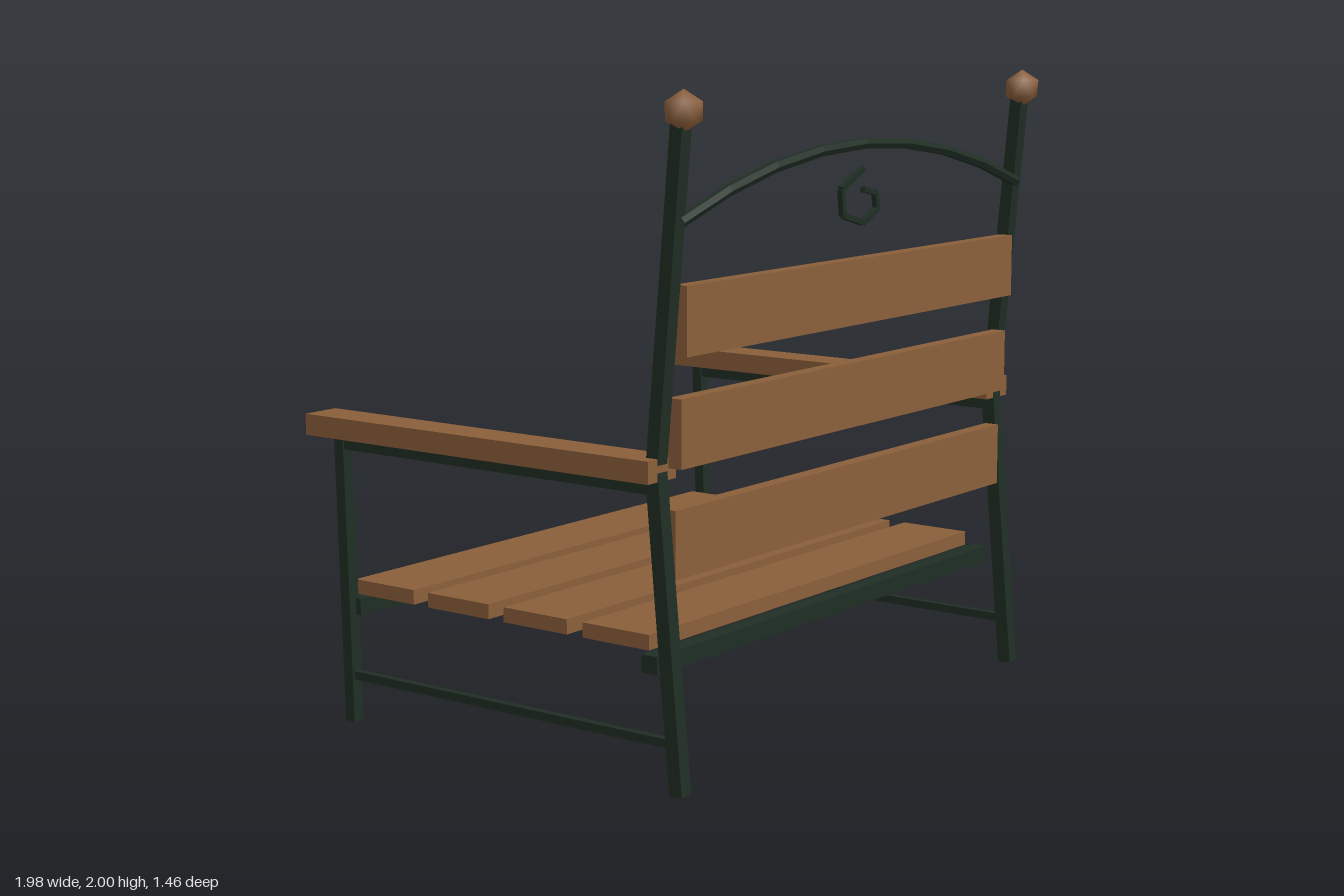
import * as THREE from 'three';
import { mergeVertices } from 'three/addons/utils/BufferGeometryUtils.js';

const wood = new THREE.MeshStandardMaterial({ name: 'wood', color: 0x8b5f3b });
const iron = new THREE.MeshStandardMaterial({ name: 'dark green iron', color: 0x1f2e24 });
const ironFlat = iron;

function add(parent, name, geometry, material) {
  const mesh = new THREE.Mesh(geometry, material);
  mesh.name = name;
  parent.add(mesh);
  return mesh;
}

// Box given by its centre and size
function box(parent, name, material, [x, y, z], [w, h, d]) {
  const mesh = add(parent, name, new THREE.BoxGeometry(w, h, d), material);
  mesh.position.set(x, y, z);
  return mesh;
}

// Square bar running from a to b
function bar(parent, name, a, b, thickness, depth = thickness) {
  const start = new THREE.Vector3(...a), end = new THREE.Vector3(...b);
  const dir = end.clone().sub(start);
  const mesh = add(parent, name, new THREE.BoxGeometry(thickness, dir.length(), depth), ironFlat);
  mesh.position.copy(start).add(end).multiplyScalar(0.5);
  mesh.quaternion.setFromUnitVectors(new THREE.Vector3(0, 1, 0), dir.normalize());
  return mesh;
}

// Low-poly ball with a corner pointing up and soft shading
function knobGeometry(radius) {
  const g = new THREE.IcosahedronGeometry(radius, 0);
  g.deleteAttribute('normal');
  g.deleteAttribute('uv');
  const ball = mergeVertices(g, 1e-4);
  ball.rotateZ(-Math.atan(2 / (1 + Math.sqrt(5))));
  ball.computeVertexNormals();
  return ball;
}

export function createModel() {
  const bench = new THREE.Group();
  bench.name = 'gardenBench';

  // Side frames
  for (const [side, s] of [['left', 1], ['right', -1]]) {
    const frame = new THREE.Group();
    frame.name = side + 'Frame';
    bench.add(frame);
    const x = s * 0.923;
    bar(frame, 'backLeg', [x, 0.002, 0.663], [x, 0.935, 0.578], 0.045);
    bar(frame, 'backPost', [x, 0.92, 0.577], [x, 1.92, 0.668], 0.045, 0.042);
    bar(frame, 'frontLeg', [x, 0.001, -0.616], [x, 0.905, -0.643], 0.04, 0.037);
    box(frame, 'armSupport', iron, [x, 0.88, -0.035], [0.03, 0.032, 1.22]);
    box(frame, 'lowerStretcher', iron, [x, 0.15, 0.015], [0.026, 0.026, 1.26]);
    box(frame, 'armrest', wood, [s * 0.925, 0.938, -0.067], [0.13, 0.066, 1.336]);
    add(frame, 'knob', knobGeometry(0.061), wood).position.set(x, 1.941, 0.676);
  }

  // Seat rails and slats
  box(bench, 'frontSeatRail', iron, [0, 0.365, -0.617], [1.83, 0.053, 0.056]);
  box(bench, 'backSeatRail', iron, [0, 0.365, 0.547], [1.83, 0.053, 0.056]);
  for (let i = 0; i < 4; i++) {
    box(bench, 'seatSlat', wood, [0, 0.417, 0.394 - i * 0.305], [1.756, 0.046, 0.245]);
  }

  // Back slats, each set a little further back
  for (let i = 0; i < 3; i++) {
    box(bench, 'backSlat', wood, [0, 0.718 + i * 0.32, 0.602 + i * 0.02], [1.79, 0.2, 0.048]);
  }

  // Arched top rail
  const arch = new THREE.QuadraticBezierCurve3(
    new THREE.Vector3(-0.92, 1.635, 0.66),
    new THREE.Vector3(0, 1.977, 0.66),
    new THREE.Vector3(0.92, 1.635, 0.66));
  const archGeometry = new THREE.TubeGeometry(arch, 8, 0.018, 6).toNonIndexed();
  archGeometry.computeVertexNormals();
  add(bench, 'archedTopRail', archGeometry, iron);

  // Angular scroll below the arch
  const scroll = new THREE.Group();
  scroll.name = 'scroll';
  bench.add(scroll);
  const points = [[0, 1.732], [-0.118, 1.675], [-0.108, 1.595], [0, 1.566],
    [0.078, 1.602], [0.068, 1.654], [0, 1.667]];
  for (let i = 0; i < points.length - 1; i++) {
    bar(scroll, 'scrollSegment', [...points[i], 0.658], [...points[i + 1], 0.658], 0.017);
  }

  return bench;
}
